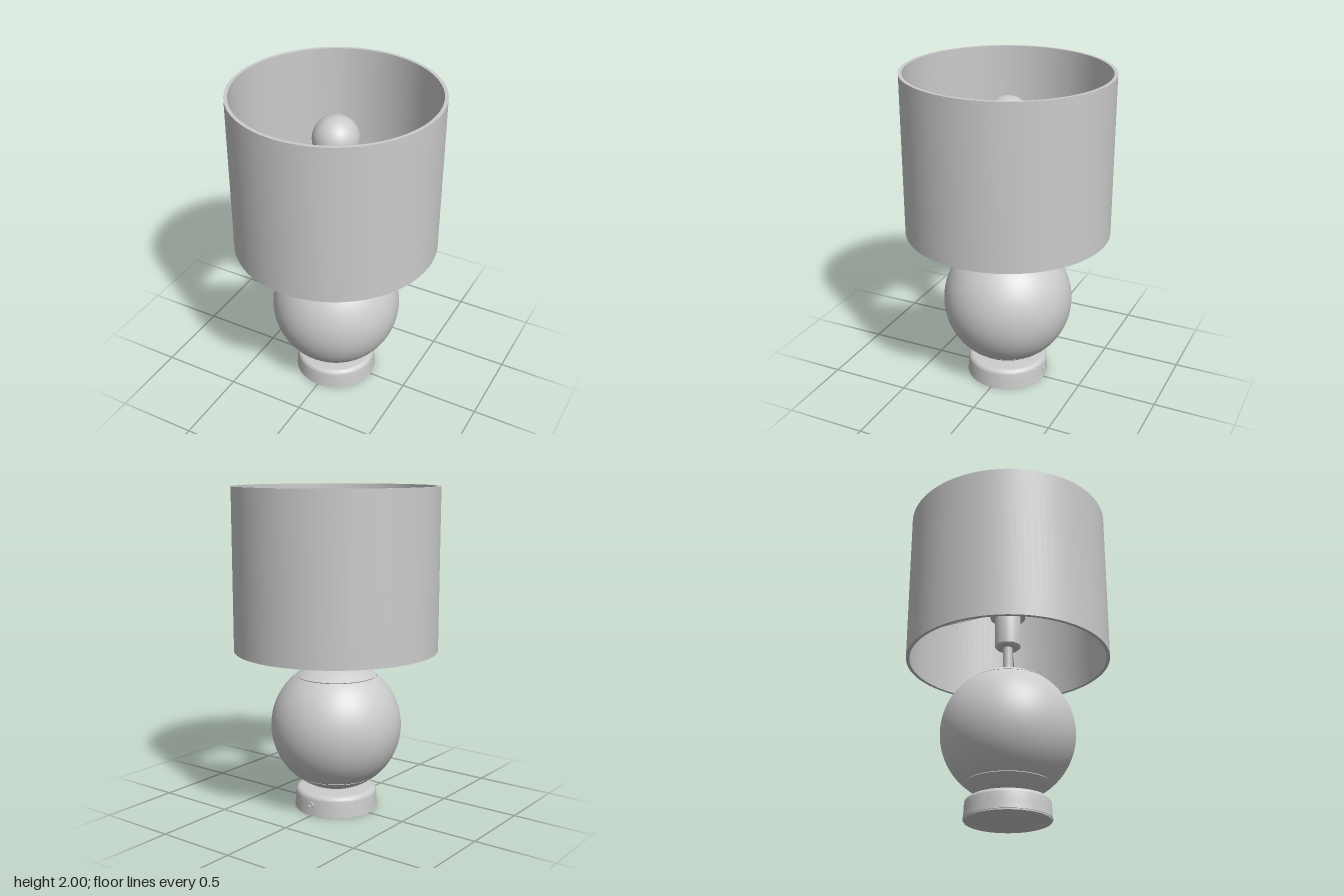
import * as THREE from 'three';
import { toCreasedNormals } from 'three/addons/utils/BufferGeometryUtils.js';

const material = new THREE.MeshStandardMaterial({ color: 0xcccccc });

function mesh(name, geometry) {
  const m = new THREE.Mesh(geometry, material);
  m.name = name;
  return m;
}

// Turned part: profile of [radius, height] pairs, running outside upwards
function turned(name, profile, segments = 72) {
  const points = profile.map(([r, y]) => new THREE.Vector2(r, y));
  return mesh(name, toCreasedNormals(new THREE.LatheGeometry(points, segments), 0.6));
}

// Points along a circular arc in the profile plane
function arc(cx, cy, r, from, to, steps) {
  return Array.from({ length: steps + 1 }, (_, i) => {
    const a = from + (to - from) * i / steps;
    return [Math.max(0, cx + r * Math.cos(a)), cy + r * Math.sin(a)];
  });
}

export function createModel() {
  const lamp = new THREE.Group();
  lamp.name = 'tableLamp';

  // Base: thin foot pad below a drum with a rounded upper edge
  lamp.add(turned('footPad', [[0, 0], [0.255, 0], [0.255, 0.012], [0, 0.012]]));
  lamp.add(turned('base', [
    [0, 0.008], [0.26, 0.008], [0.256, 0.05],
    ...arc(0.222, 0.1, 0.032, 0, Math.PI / 2, 8), [0, 0.132],
  ]));

  // Cable grommet at the back of the base
  const grommet = mesh('cableGrommet', new THREE.TorusGeometry(0.015, 0.005, 8, 20));
  grommet.position.set(0, 0.07, -0.257);
  lamp.add(grommet);

  // Spherical body with two narrow seam grooves
  const R = 0.405, cy = 0.53, groove = 0.006;
  const low = Math.asin((0.22 - cy) / R), high = Math.asin((0.847 - cy) / R);
  const half = Math.PI / 2, gap = 0.008;
  lamp.add(turned('body', [
    ...arc(0, cy, R, -half, low - gap, 14),
    ...arc(0, cy, R - groove, low - gap, low + gap, 1),
    ...arc(0, cy, R, low + gap, high - gap, 32),
    ...arc(0, cy, R - groove, high - gap, high + gap, 1),
    ...arc(0, cy, R, high + gap, half, 14),
  ], 96));

  // Stem, lamp socket and its collar
  const stem = mesh('stem', new THREE.CylinderGeometry(0.03, 0.03, 0.24, 32));
  stem.position.y = 1.02;
  lamp.add(stem);
  lamp.add(turned('socket', [
    [0, 1.1], [0.068, 1.1], [0.08, 1.112], [0.08, 1.34], [0.07, 1.37], [0, 1.37],
  ], 40));
  lamp.add(turned('collar', [
    [0.07, 1.312], [0.11, 1.312], [0.11, 1.328], [0.07, 1.328],
  ], 40));

  // Bulb: neck swelling into a globe
  lamp.add(turned('bulb', [
    [0, 1.36], [0.06, 1.36], [0.062, 1.43], [0.073, 1.5], [0.096, 1.57],
    ...arc(0, 1.71, 0.14, -0.6, half, 20),
  ], 48));

  // Drum shade with an open top and bottom, very slightly deeper than wide
  const shade = new THREE.Group();
  shade.name = 'shade';
  shade.add(turned('shadeDrum', [
    [0.602, 1.01], [0.623, 1.01], [0.623, 2], [0.602, 2], [0.602, 1.01],
  ], 96));
  shade.scale.z = 1.011;
  lamp.add(shade);

  // Three arms slope from the collar to the shade and bend down to its lower rim
  for (let i = 0; i < 3; i++) {
    const path = new THREE.CurvePath();
    const p = [[0.1, 1.32], [0.58, 1.098], [0.604, 1.075], [0.604, 1.015]]
      .map(([r, y]) => new THREE.Vector3(0, y, r));
    path.add(new THREE.LineCurve3(p[0], p[1]));
    path.add(new THREE.QuadraticBezierCurve3(p[1], new THREE.Vector3(0, 1.088, 0.604), p[2]));
    path.add(new THREE.LineCurve3(p[2], p[3]));
    const arm = mesh('shadeArm', new THREE.TubeGeometry(path, 60, 0.005, 8));
    arm.rotation.y = i * Math.PI * 2 / 3;
    lamp.add(arm);
  }

  return lamp;
}
